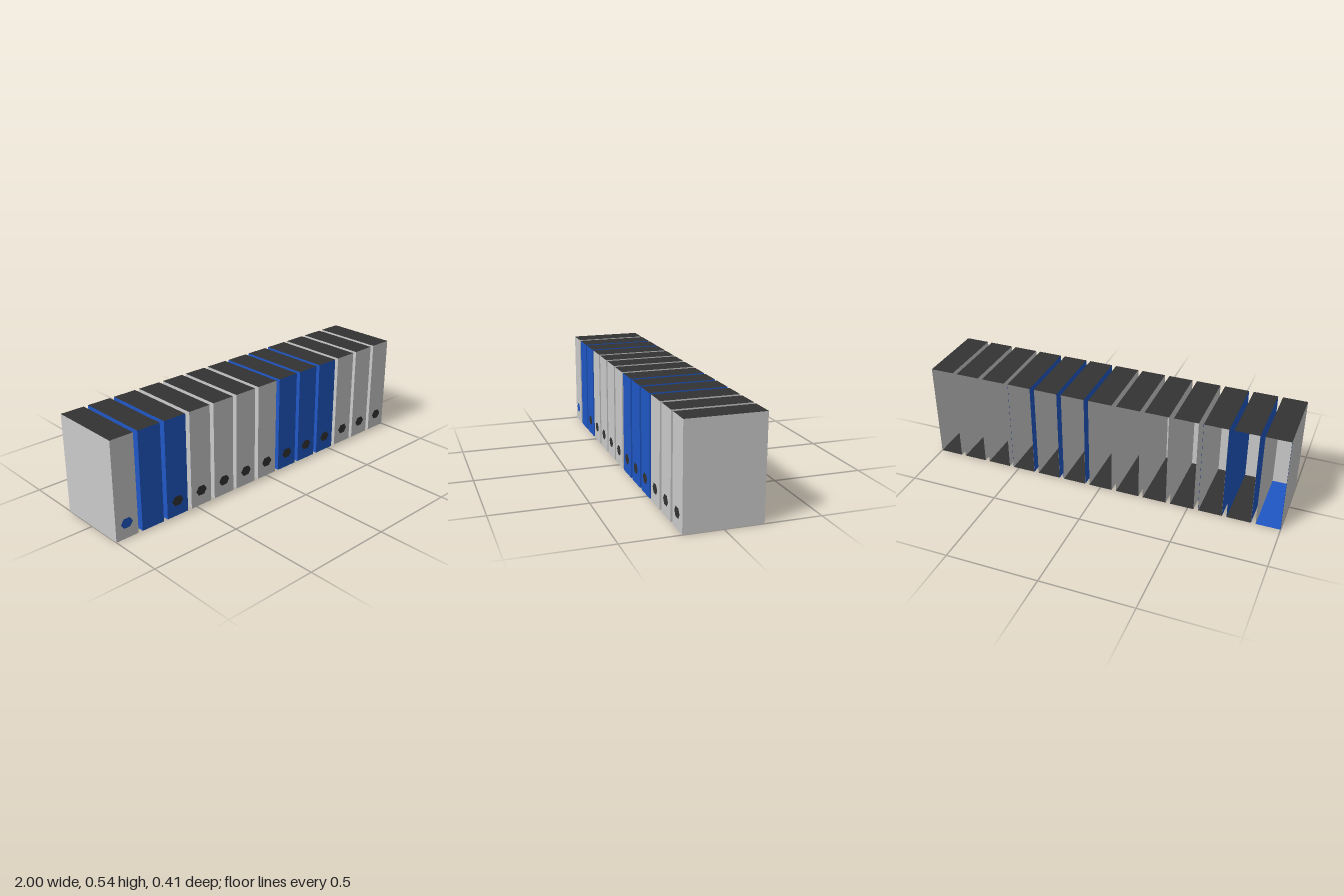
import * as THREE from 'three';

const W = 0.131, H = 0.54, D = 0.405, COUNT = 13;
const STEP = (2 - W) / (COUNT - 1);
const GAP = 0.001; // lining sits just inside the cover

const paint = (color) => new THREE.MeshStandardMaterial({ color, side: THREE.DoubleSide });
const grey = paint(0xcccccc);
const blue = paint(0x2057c6);
const dark = paint(0x333333);

function sheet(name, geometry, mat, pos, rx = 0, ry = 0) {
  const m = new THREE.Mesh(geometry, mat);
  m.name = name;
  m.position.set(...pos);
  m.rotation.set(rx, ry, 0);
  return m;
}

const spineShape = new THREE.PlaneGeometry(W, H);
const wallShape = new THREE.PlaneGeometry(D, H);
const endShape = new THREE.PlaneGeometry(W, D);
const holeShape = new THREE.CircleGeometry(0.035, 6).scale(1, 0.86, 1);

// One file box: thin sheets, open at the back, lined where the inside differs from the cover
function fileBox({ cover, hole = dark, base = dark, liningLeft = grey, liningRight = grey }) {
  const g = new THREE.Group();
  const q = Math.PI / 2, y = H / 2;
  // spine
  g.add(sheet('spine', spineShape, cover, [0, y, D / 2]));
  if (cover !== grey) g.add(sheet('spineLining', spineShape, grey, [0, y, D / 2 - GAP], 0, Math.PI));
  // side walls
  for (const [side, s, lining] of [['left', 1, liningLeft], ['right', -1, liningRight]]) {
    g.add(sheet(side + 'Wall', wallShape, cover, [s * W / 2, y, 0], 0, s * q));
    if (lining !== cover) {
      g.add(sheet(side + 'Lining', wallShape, lining, [s * (W / 2 - GAP), y, 0], 0, -s * q));
    }
  }
  // top and base
  g.add(sheet('top', endShape, dark, [0, H, 0], -q));
  g.add(sheet('base', endShape, base, [0, 0, 0], q));
  // hexagonal finger hole low on the spine
  g.add(sheet('fingerHole', holeShape, hole, [0, 0.084, D / 2 + 0.002]));
  return g;
}

export function createModel() {
  const model = new THREE.Group();
  model.name = 'fileBoxRow';
  const blueBoxes = [1, 2, 7, 8, 9];
  // a few boxes have blue details
  const special = {
    0: { hole: blue, base: blue, liningRight: blue },
    1: { hole: blue, liningLeft: blue },
  };
  for (let i = 0; i < COUNT; i++) {
    const box = fileBox({ cover: blueBoxes.includes(i) ? blue : grey, ...special[i] });
    box.name = 'fileBox' + (i + 1);
    box.position.x = -1 + W / 2 + i * STEP;
    model.add(box);
  }
  return model;
}
